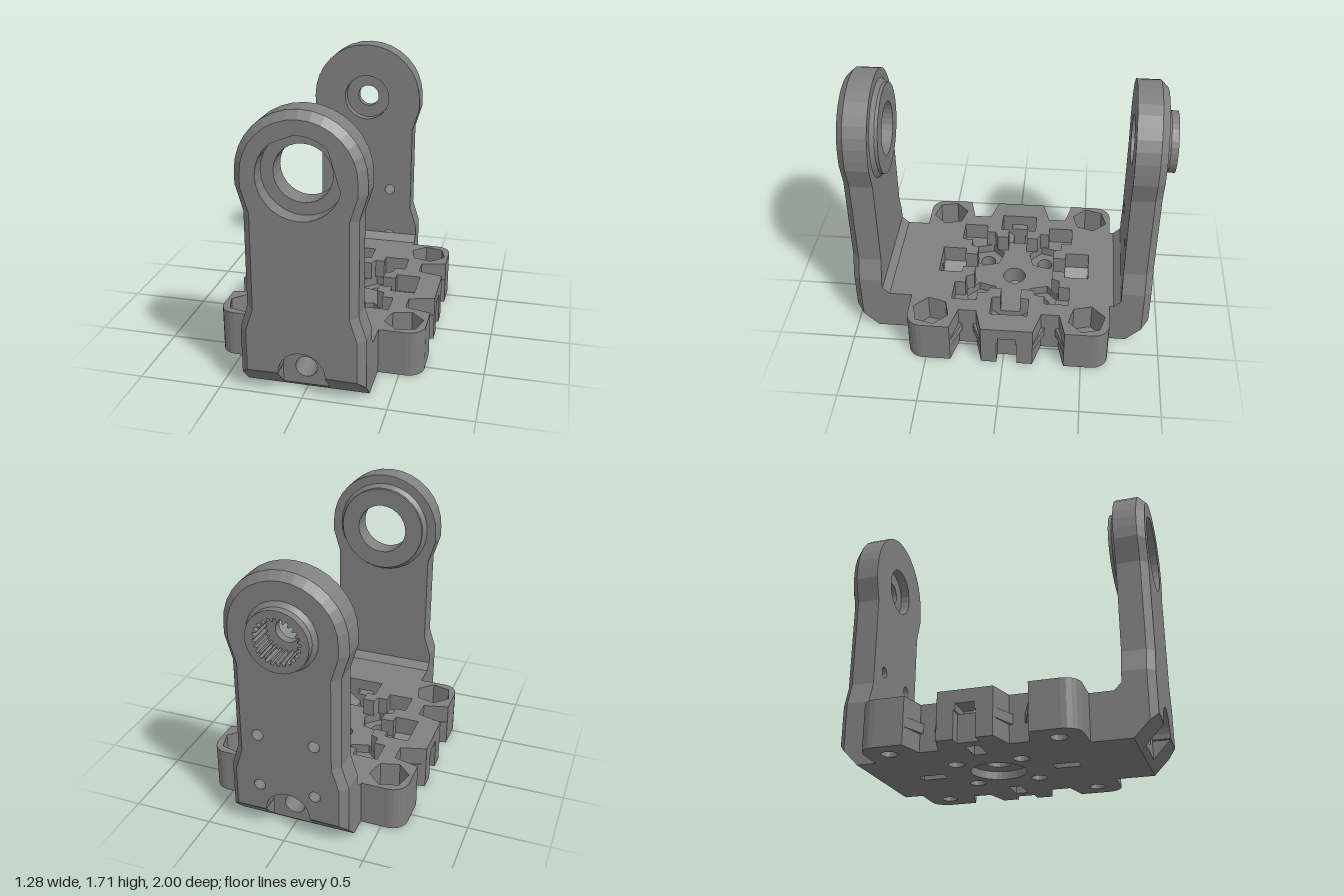
import * as THREE from 'three';

const grey = new THREE.MeshStandardMaterial({ color: 0x808080 });
grey.name = 'grey plastic';
const HUB = 1.34;

// --- point helpers ---
const arc = (cx, cy, r, a0, a1, n) => Array.from({ length: n + 1 }, (_, i) => {
  const a = a0 + (a1 - a0) * i / n;
  return [cx + r * Math.cos(a), cy + r * Math.sin(a)];
});
const circle = (cx, cy, r, n = 24, a = 0) => arc(cx, cy, r, a, a + Math.PI * 2, n).slice(0, n);
const rect = (x0, x1, y0, y1) => [[x0, y0], [x1, y0], [x1, y1], [x0, y1]];
const flip = (pts, sx, sy) => pts.map(([x, y]) => [x * sx, y * sy]);
const vec = pts => pts.map(p => new THREE.Vector2(p[0], p[1]));
const four = fn => [[1, 1], [-1, 1], [-1, -1], [1, -1]].map(([a, b]) => fn(a, b));

// slab of a 2D outline with holes, from z0 to z1
function slab(outline, holes, z0, z1) {
  const s = new THREE.Shape(vec(outline));
  for (const h of holes) s.holes.push(new THREE.Path(vec(h)));
  return new THREE.ExtrudeGeometry(s, { depth: z1 - z0, bevelEnabled: false }).translate(0, 0, z0);
}
// profile given as (z, y), extruded along x
const alongX = (profile, x0, x1) =>
  slab(profile.map(([z, y]) => [-z, y]), [], x0, x1).rotateY(Math.PI / 2);

function add(group, name, geo) {
  const m = new THREE.Mesh(geo, grey);
  m.name = name;
  group.add(m);
  return m;
}

// --- base plate ---
function quadrant(inset) {
  return [[0.64, 0.165], [0.48, 0.21 + inset], [0.48, 0.325 - inset], [0.64, 0.365],
    ...arc(0.54, 0.545, 0.1, 0, Math.PI / 2, 5)];
}
function fullOutline(q) {
  return [...q, ...flip(q, -1, 1).reverse(), ...flip(q, -1, -1), ...flip(q, 1, -1).reverse()];
}

function makeBase() {
  const base = new THREE.Group();
  base.name = 'base';
  const level = (name, outline, holes, y0, y1) =>
    add(base, name, slab(outline, holes, y0, y1).rotateX(-Math.PI / 2));

  const cornerHoles = four((a, b) => circle(a * 0.5, b * 0.5, 0.05, 16));
  const innerHoles = four((a, b) => circle(a * 0.2, b * 0.2, 0.05, 16));
  const hex = (c, r) => four((a, b) => circle(a * c, b * c, r, 6, Math.atan2(b, a)));
  const crossSlots = w => [
    rect(0.345, 0.5, -w, w), rect(-0.5, -0.345, -w, w),
    rect(-w, w, 0.345, 0.5), rect(-w, w, -0.5, -0.345)];

  // lower levels, with an arched notch at each side
  const notch = [[0.57, 0.065], [0.64, 0.065]];
  const low = fullOutline([...notch, ...quadrant(0)]);
  const mid = fullOutline([...notch, ...quadrant(0.022)]);
  const through = [...cornerHoles, ...innerHoles, ...crossSlots(0.04)];
  level('bottomPlate', low, [circle(0, 0, 0.17, 32), ...through], 0, 0.05);
  level('floorPlate', low, [circle(0, 0, 0.075), ...through], 0.05, 0.11);
  level('nutPockets', mid,
    [circle(0, 0, 0.075), ...hex(0.5, 0.12), ...hex(0.2, 0.115), ...crossSlots(0.12)], 0.11, 0.17);

  // central pocket, repeated by quarter turns
  const half = [[0.5, 0.12], [0.345, 0.12], [0.345, 0.065], [0.26, 0.065], [0.26, 0.14],
    [0.31, 0.16], [0.31, 0.22], [0.38, 0.22], [0.38, 0.38]];
  const quarter = [...half, ...half.slice(0, -1).reverse().map(([x, y]) => [y, x])];
  const pocket = [];
  let turned = quarter;
  for (let i = 0; i < 4; i++) {
    pocket.push(...turned);
    turned = turned.map(([x, y]) => [-y, x]);
  }

  // cable channel level: four corner blocks
  const block = [[0.64, 0.055], ...quadrant(0), [0.055, 0.645], [0.055, 0.5],
    ...[...quarter].reverse(), [0.5, 0.055]];
  four((a, b) => level('cornerBlock', flip(block, a, b),
    [circle(a * 0.5, b * 0.5, 0.12, 6, Math.atan2(b, a))], 0.17, 0.21));
  level('topPlate', fullOutline(quadrant(0)), [pocket, ...hex(0.5, 0.12)], 0.21, 0.29);

  // sloped floors beside the four slots
  for (let i = 0; i < 4; i++) {
    for (const s of [1, -1]) {
      const ramp = add(base, 'slotRamp',
        alongX([[s * 0.04, 0.1], [s * 0.12, 0.1], [s * 0.12, 0.17], [s * 0.04, 0.11]], 0.345, 0.5));
      ramp.rotation.y = i * Math.PI / 2;
    }
  }
  base.position.z = -0.025;
  return base;
}

// --- upright arm: outer face at z = 0, inner face at z = -0.19 ---
function armOutline() {
  const side = [[0.37, 0.145], [0.37, 0.4], [0.325, 0.54], [0.325, 1.12], [0.37, 1.27]];
  return [...side, ...arc(0, HUB, 0.37, 0, Math.PI, 16), ...flip(side, -1, 1).reverse(),
    ...arc(0, 0.15, 0.14, Math.PI, 0, 14)];
}

// pull the outer rim of a slab in at its outer face
function chamfer(geo) {
  const p = geo.attributes.position;
  for (let i = 0; i < p.count; i++) {
    const x = p.getX(i), y = p.getY(i);
    if (p.getZ(i) < -0.01 || (Math.abs(x) < 0.3 && y < 1.6)) continue;
    if (y > HUB) {
      const k = 0.325 / 0.37;
      p.setXY(i, x * k, HUB + (y - HUB) * k);
    } else p.setX(i, x - Math.sign(x) * 0.045);
  }
  geo.computeVertexNormals();
  return geo;
}

function makeArm(name, steps, screws, reach) {
  const arm = new THREE.Group();
  arm.name = name;
  const outline = armOutline();
  for (const [hole, z0, z1] of steps) {
    const g = slab(outline, [hole, ...screws], z0, z1);
    add(arm, 'upright', z1 === 0 ? chamfer(g) : g);
  }
  // foot with sloped lower edge, chamfered sides and inner fillet
  const foot = [[-reach, 0], [-0.14, 0], [-0.045, 0.098], [0, 0.145], [-0.045, 0.145],
    [-0.19, 0.146], [-0.19, 0.335], [-0.235, 0.29], [-reach, 0.29]];
  for (const s of [1, -1]) {
    const g = s > 0 ? alongX(foot, 0.14, 0.37) : alongX(foot, -0.37, -0.14);
    const p = g.attributes.position;
    for (let i = 0; i < p.count; i++) {
      if (p.getZ(i) > -0.01 && Math.abs(p.getX(i)) > 0.3) p.setX(i, s * 0.325);
    }
    g.computeVertexNormals();
    add(arm, 'foot', g);
  }
  // recessed arch with its cable hole
  add(arm, 'archSill', alongX([[-reach, 0], [-0.14, 0], [-0.11, 0.03], [-reach, 0.03]], -0.14, 0.14));
  add(arm, 'archPlate', slab(rect(-0.14, 0.14, 0.03, 0.29), [circle(0, 0.145, 0.065)], -reach, -0.11));
  add(arm, 'innerFillet', alongX([[-0.235, 0.29], [-0.19, 0.29], [-0.19, 0.335]], -0.14, 0.14));
  return arm;
}

// conical fillet at the foot of a boss; r0 at z0, r1 at z1
function collar(r0, z0, r1, z1) {
  const g = new THREE.CylinderGeometry(r1, r0, Math.abs(z1 - z0), 32, 1, true);
  g.rotateX(Math.sign(z1 - z0) * Math.PI / 2);
  return g.translate(0, HUB, (z0 + z1) / 2);
}

export function createModel() {
  const model = new THREE.Group();
  model.name = 'servoBracket';
  model.add(makeBase());

  // front arm with a stepped bearing hole and an inner ring
  const bore = circle(0, HUB, 0.168, 28), seat = circle(0, HUB, 0.24, 28);
  const front = makeArm('frontArm',
    [[seat, -0.045, 0], [seat, -0.1, -0.045], [bore, -0.19, -0.1]], [], 0.39);
  add(front, 'bearingRing', slab(circle(0, HUB, 0.285, 32), [bore], -0.235, -0.19));
  add(front, 'ringFillet', collar(0.31, -0.19, 0.285, -0.215));
  front.position.z = 1;
  model.add(front);

  // rear arm with a toothed socket and four screw holes
  const teeth = [];
  for (let i = 0; i < 24; i++) {
    [0.142, 0.142, 0.122, 0.122].forEach((r, k) => {
      const a = (i + [0, 0.4, 0.55, 0.85][k]) / 24 * Math.PI * 2;
      teeth.push([r * Math.cos(a), HUB + r * Math.sin(a)]);
    });
  }
  const screws = [];
  for (const x of [-0.175, 0.175]) for (const y of [0.32, 0.67]) screws.push(circle(x, y, 0.036, 14));
  const rear = makeArm('rearArm', [[teeth, -0.045, 0], [teeth, -0.08, -0.045],
    [circle(0, HUB, 0.072), -0.13, -0.08], [circle(0, HUB, 0.155), -0.19, -0.13]], screws, 0.27);
  add(rear, 'hornSocket', slab(circle(0, HUB, 0.188, 32), [teeth], 0, 0.07));
  add(rear, 'socketFillet', collar(0.212, 0, 0.188, 0.025));
  rear.rotation.y = Math.PI;
  rear.position.z = -0.93;
  model.add(rear);
  return model;
}
